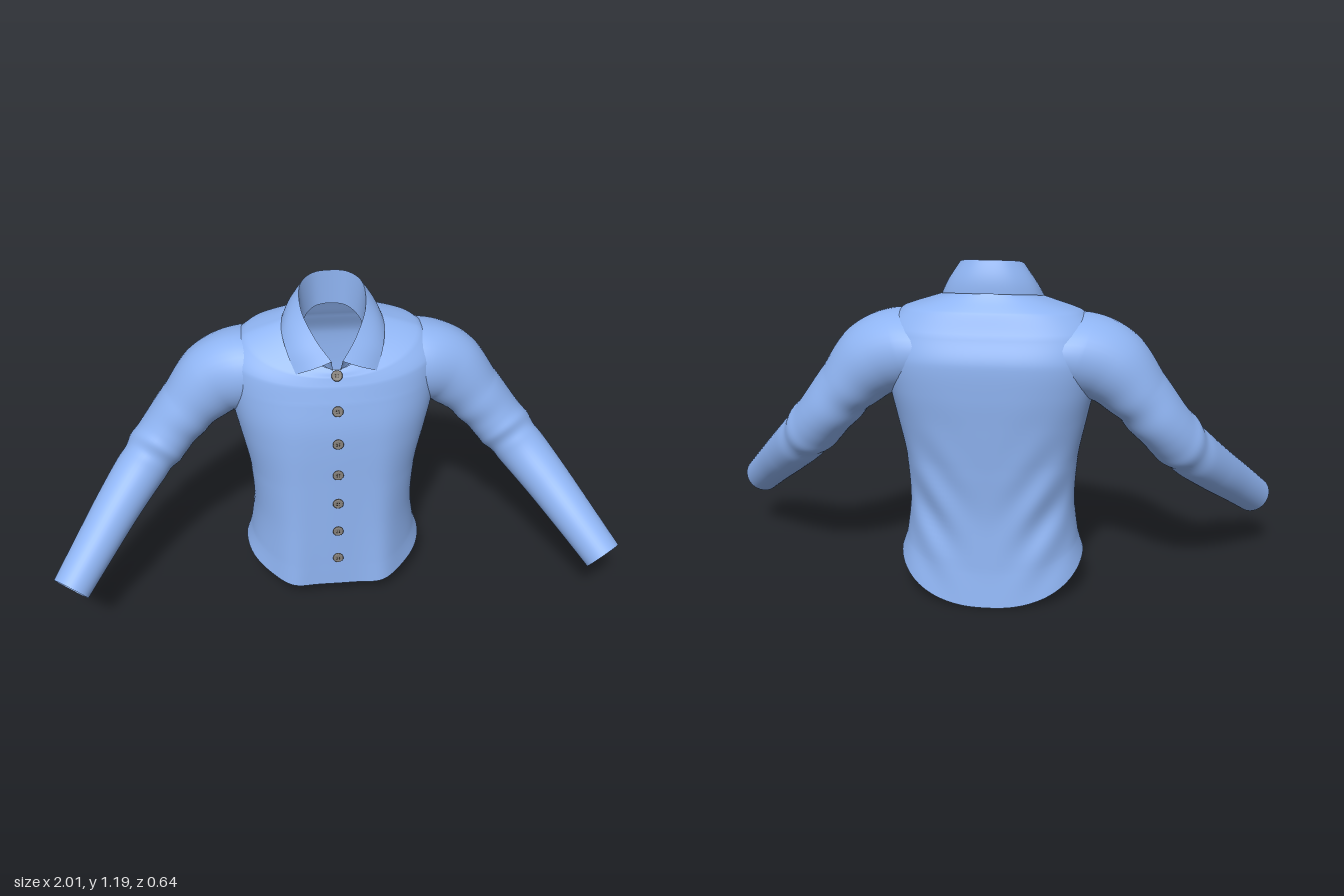
import * as THREE from 'three';

const V = (a) => new THREE.Vector3(...a);
const spline = (pts) => new THREE.CatmullRomCurve3(pts.map(V));
const bell = (x, c, w) => Math.exp(-(((x - c) / w) ** 2));

const cloth = new THREE.MeshStandardMaterial({ color: 0x8fb4f2, side: THREE.DoubleSide });
const buttonMat = new THREE.MeshStandardMaterial({ color: 0x85807a });
const holeMat = new THREE.MeshStandardMaterial({ color: 0x35332f });

// Smooth surface from a rule f(u, v); u may wrap round into a closed ring
function loft(name, f, nu, nv, closed) {
  const pos = [], idx = [], cols = closed ? nu : nu + 1;
  for (let j = 0; j <= nv; j++)
    for (let i = 0; i < cols; i++) pos.push(...f(i / nu, j / nv));
  for (let j = 0; j < nv; j++)
    for (let i = 0; i < nu; i++) {
      const a = j * cols + i, b = j * cols + ((i + 1) % cols);
      idx.push(a, b, b + cols, a, b + cols, a + cols);
    }
  const g = new THREE.BufferGeometry();
  g.setAttribute('position', new THREE.Float32BufferAttribute(pos, 3));
  g.setIndex(idx);
  g.computeVertexNormals();
  const m = new THREE.Mesh(g, cloth);
  m.name = name;
  return m;
}

// Torso rings from hem to neck: half width, front z, back z / heights at front, side, back
const girth = spline([
  [0.325, 0.143, -0.32], [0.305, 0.142, -0.302], [0.29, 0.14, -0.29], [0.3, 0.138, -0.3],
  [0.33, 0.136, -0.312], [0.35, 0.13, -0.32], [0.362, 0.115, -0.32], [0.358, 0.1, -0.285],
  [0.3, 0.088, -0.25], [0.2, 0.08, -0.215], [0.13, 0.072, -0.195],
]);
const height = spline([
  [0.06, 0.135, 0], [0.15, 0.2, 0.13], [0.33, 0.34, 0.32], [0.5, 0.5, 0.5],
  [0.65, 0.65, 0.65], [0.75, 0.75, 0.76], [0.84, 0.85, 0.87], [0.9, 0.95, 0.96],
  [0.93, 1.015, 1.03], [0.945, 1.05, 1.065], [0.955, 1.072, 1.09],
]);

function torsoPoint(u, v) {
  const g = girth.getPoint(v), h = height.getPoint(v), zMid = -0.09;
  const s = Math.sin(u * 2 * Math.PI), c = Math.cos(u * 2 * Math.PI);
  // squarer across the shoulder blades, rounder at the upper chest
  const power = c < 0 ? 0.85 - 0.15 * bell(v, 0.6, 0.22) : 0.85 + 0.12 * bell(v, 0.95, 0.25);
  const sq = (k) => Math.sign(k) * Math.abs(k) ** power;
  const x = g.x * sq(s);
  const y = h.y + ((c > 0 ? h.x : h.z) - h.y) * Math.abs(c) ** 1.3;
  let z = zMid + sq(c) * (c > 0 ? g.y - zMid : zMid - g.z);
  if (c > 0) z += 0.032 * bell(Math.abs(x), 0.17, 0.07) * Math.max(0, 1 - y / 0.85);
  else // diagonal folds falling from the armpits towards the middle of the back
    z += 0.009 * Math.sin((y - 1.3 * Math.abs(x)) * 28) * bell(y, 0.33, 0.2)
      * bell(Math.abs(x), 0.19, 0.1) * Math.min(1, -c * 2);
  return [x, y, z];
}

// Sleeve: path from inside the shoulder to the wrist, with ring sizes (height, front, back)
const armPath = spline([
  [0.2, 0.885, -0.1], [0.31, 0.868, -0.108], [0.4, 0.832, -0.115], [0.502, 0.73, -0.112],
  [0.592, 0.618, -0.1], [0.678, 0.518, -0.055], [0.772, 0.417, 0.04], [0.862, 0.32, 0.155],
  [0.948, 0.225, 0.265],
]);
const armSize = spline([
  [0.115, 0.13, 0.185], [0.141, 0.135, 0.17], [0.137, 0.124, 0.145], [0.108, 0.112, 0.124],
  [0.098, 0.108, 0.112], [0.091, 0.092, 0.095], [0.083, 0.083, 0.083], [0.075, 0.075, 0.075],
  [0.068, 0.066, 0.066],
]);

function sleevePoint(u, t) {
  const p = armPath.getPoint(t), d = armPath.getTangent(t), size = armSize.getPoint(t);
  const a = new THREE.Vector3(0, 0, 1).cross(d).normalize();
  const b = d.clone().cross(a);
  const s = Math.sin(u * 2 * Math.PI), c = Math.cos(u * 2 * Math.PI);
  const under = 0.5 - 0.5 * c, crease = t + 0.03 * s;
  const fold = 1 + 0.025 * under * Math.sin(t * 62 + 2 * s) * bell(t, 0.42, 0.11)
    + 0.05 * bell(crease, 0.56, 0.022) - 0.04 * bell(crease, 0.605, 0.022);
  p.addScaledVector(a, fold * size.x * c).addScaledVector(b, fold * (s > 0 ? size.y : size.z) * s);
  return [p.x, p.y, p.z];
}

// Collar edges, each drawn for one half and mirrored
const mirrored = (half) => spline([
  ...half, ...half.slice(0, -1).reverse().map(([x, y, z]) => [-x, y, z]),
]);
const collarFold = mirrored([
  [0.018, 1.0, 0.097], [0.066, 1.055, 0.045], [0.108, 1.125, -0.04],
  [0.104, 1.175, -0.12], [0.06, 1.19, -0.168], [0, 1.192, -0.18],
]);
const collarHem = mirrored([
  [0.135, 0.942, 0.072], [0.162, 1.0, 0.02], [0.174, 1.048, -0.06],
  [0.155, 1.07, -0.14], [0.09, 1.082, -0.192], [0, 1.086, -0.208],
]);
const standBase = mirrored([
  [0.012, 0.945, 0.072], [0.06, 0.975, 0.045], [0.1, 1.03, -0.04],
  [0.092, 1.045, -0.12], [0.055, 1.06, -0.168], [0, 1.065, -0.18],
]);
const between = (low, high, bulge) => (u, v) => {
  const p = low.getPoint(u).lerp(high.getPoint(u), v);
  const swell = 1 + bulge * Math.sin(Math.PI * v);
  return [p.x * swell, p.y, -0.07 + (p.z + 0.07) * swell];
};

// Button: dished disc with raised rim and four thread holes, facing +z
function makeButton() {
  const button = new THREE.Group();
  button.name = 'button';
  const profile = [[0, -0.005], [0.018, -0.005], [0.019, 0.002], [0.016, 0.005], [0.012, 0.003], [0, 0.003]];
  const disc = new THREE.Mesh(
    new THREE.LatheGeometry(profile.map((p) => new THREE.Vector2(...p)), 20), buttonMat);
  disc.name = 'buttonDisc';
  disc.rotation.x = Math.PI / 2;
  button.add(disc);
  for (const sx of [-1, 1]) for (const sy of [-1, 1]) {
    const hole = new THREE.Mesh(new THREE.CylinderGeometry(0.002, 0.002, 0.002, 8), holeMat);
    hole.name = 'buttonHole';
    hole.rotation.x = Math.PI / 2;
    hole.position.set(sx * 0.004, sy * 0.004, 0.003);
    button.add(hole);
  }
  return button;
}

export function createModel() {
  const shirt = new THREE.Group();
  shirt.name = 'shirt';

  shirt.add(loft('torso', torsoPoint, 128, 90, true));

  const leftSleeve = loft('leftSleeve', sleevePoint, 40, 120, true);
  const rightSleeve = leftSleeve.clone();
  rightSleeve.name = 'rightSleeve';
  rightSleeve.scale.x = -1;
  shirt.add(leftSleeve, rightSleeve);

  shirt.add(loft('collarLeaf', between(collarHem, collarFold, 0.05), 64, 8, false));
  shirt.add(loft('collarStand', between(standBase, collarFold, 0), 64, 6, false));

  // Buttons sit on the front, tilted with its slope
  for (const y of [0.94, 0.82, 0.695, 0.565, 0.44, 0.315, 0.19]) {
    let lo = 0, hi = 1;
    for (let i = 0; i < 24; i++) {
      const mid = (lo + hi) / 2;
      if (torsoPoint(0, mid)[1] < y) lo = mid; else hi = mid;
    }
    const p = V(torsoPoint(0, lo)), q = V(torsoPoint(0, Math.max(0, lo - 0.02)));
    const button = makeButton();
    button.position.set(0, y, p.z + 0.007);
    button.rotation.x = -Math.atan2(q.z - p.z, p.y - q.y);
    shirt.add(button);
  }
  return shirt;
}
